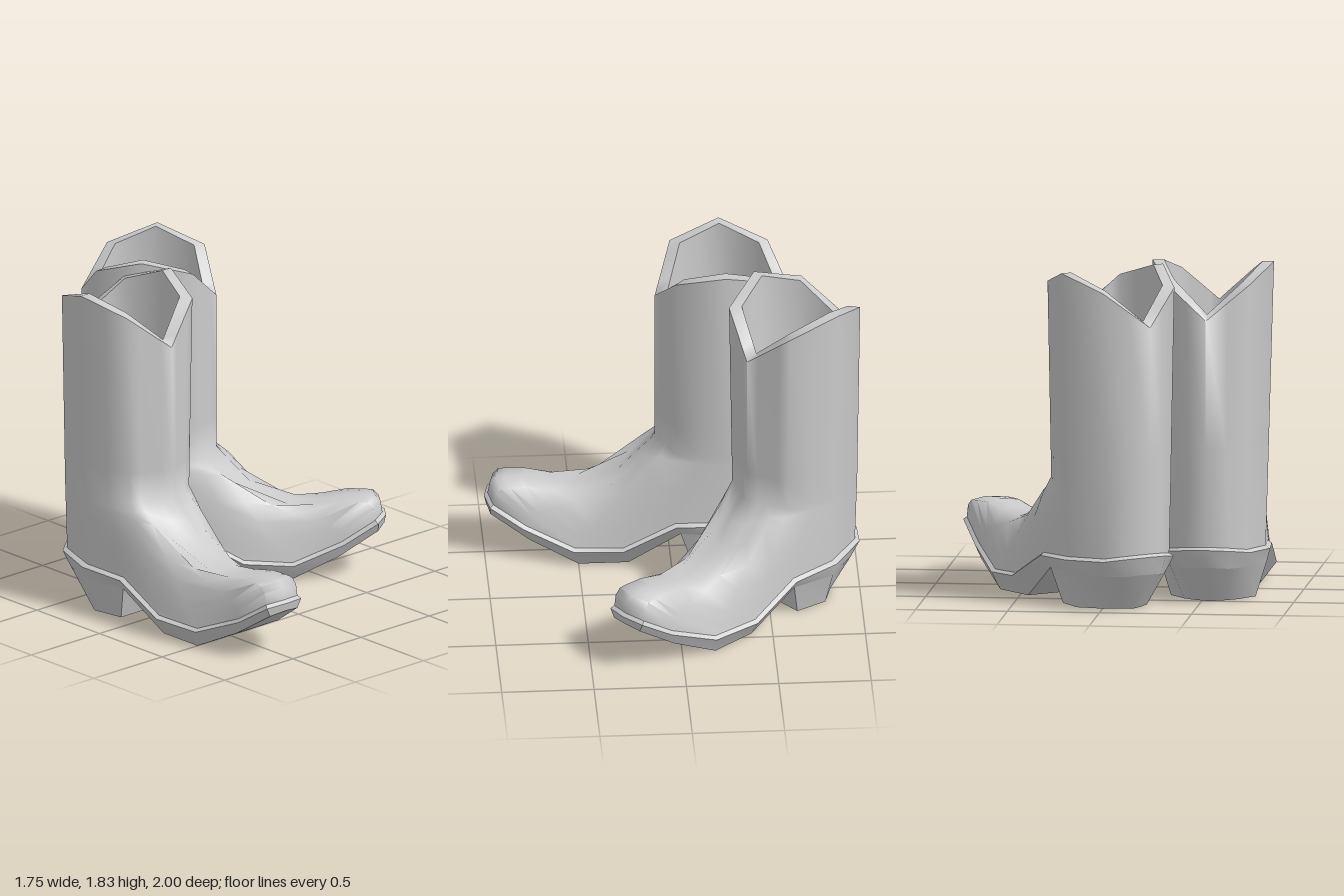
import * as THREE from 'three';
import { toCreasedNormals } from 'three/addons/utils/BufferGeometryUtils.js';

const material = new THREE.MeshStandardMaterial({ color: 0xcccccc });
const lerp = THREE.MathUtils.lerp;

// Full loop from a half outline (back to front on +x)
function mirrorLoop(half) {
  const other = half.filter(p => p[0] > 1e-6).reverse().map(([x, y, z]) => [-x, y, z]);
  return half.concat(other);
}

// Skin through half outlines, optionally closing the first or last one
function loft(name, halves, { capStart = false, capEnd = false, crease = 0.9 } = {}) {
  const loops = halves.map(mirrorLoop);
  const n = loops[0].length, index = [];
  for (let r = 0; r < loops.length - 1; r++) {
    for (let i = 0; i < n; i++) {
      const a = r * n + i, b = r * n + (i + 1) % n, c = b + n, d = a + n;
      index.push(a, d, c, a, c, b);
    }
  }
  const cap = (base, up) => {
    for (let i = 0; i < Math.floor(n / 2); i++) {
      const p = base + i, q = base + i + 1, r = base + n - i - 1, s = base + (n - i) % n;
      if (q !== r) index.push(...(up ? [p, r, q] : [p, q, r]));
      if (p !== s) index.push(...(up ? [p, s, r] : [p, r, s]));
    }
  };
  if (capStart) cap(0, false);
  if (capEnd) cap((loops.length - 1) * n, true);
  const geometry = new THREE.BufferGeometry();
  geometry.setAttribute('position', new THREE.Float32BufferAttribute(loops.flat(2), 3));
  geometry.setIndex(index);
  const mesh = new THREE.Mesh(toCreasedNormals(geometry, crease), material);
  mesh.name = name;
  return mesh;
}

// Scalloped octagonal shaft top: back, diagonal, side, diagonal, front
const octagon = [[0, 1.55, -0.66], [0.23, 1.74, -0.55], [0.33, 1.83, -0.29], [0.24, 1.75, -0.02], [0, 1.55, 0.075]];
const columns = [0, 0.5, 1, 2, 2.5, 3, 3.25, 3.5, 3.75, 4];
const shaftTop = columns.map(u => {
  const k = Math.min(3, Math.floor(u));
  return octagon[k].map((v, i) => lerp(v, octagon[k + 1][i], u - k));
});
const shaftRing = (y, sx) => shaftTop.map(([x, , z]) => [x * sx, y, z]);
const innerRing = (s, y) => shaftTop.map(([x, ty, z]) => [x * s, y ?? lerp(ty, 1.83, 0.1), -0.29 + (z + 0.29) * s]);

// Line where the upper meets the sole, heel to toe
const welt = [
  [0, 0.315, -0.65], [0.12, 0.305, -0.6], [0.21, 0.29, -0.53], [0.285, 0.28, -0.29], [0.265, 0.27, -0.02],
  [0.26, 0.125, 0.26], [0.22, 0.11, 0.52], [0.155, 0.22, 0.78], [0.115, 0.335, 0.955], [0, 0.345, 0.98],
];
// Underside of the sole
const soleBottom = [
  [0, 0.2, -0.63], [0.12, 0.19, -0.585], [0.21, 0.19, -0.5], [0.29, 0.19, -0.29], [0.24, 0.19, -0.05],
  [0.2, 0, 0.23], [0.2, 0, 0.5], [0.15, 0.13, 0.76], [0.1, 0.27, 0.97], [0, 0.285, 0.99],
];
// Ground contact of the heel
const heelBottom = [[0, 0, -0.5], [0.08, 0, -0.46], [0.145, 0, -0.41], [0.23, 0, -0.29], [0.2, 0, -0.11]];

// Foot rows between welt and ankle: [fraction, rise or dip of the instep ridge]
const ridge = [[0.988, 0.06], [0.955, 0.08], [0.9, 0.065], [0.8, 0.03], [0.65, -0.05], [0.49, -0.12], [0.22, -0.135], [0.1, -0.06]];
const ridgeWeight = [0, 0, 0, 0, 0, -0.25, -0.25, 0.45, 1, 1];

function makeBoot(name) {
  const boot = new THREE.Group();
  boot.name = name;

  // Foot, shaft, rim and hollow inside as one skin
  const ankle = shaftRing(0.68, 0.9);
  const foot = ridge.map(([t, dy]) => ankle.map((p, j) => {
    const [x, y, z] = p.map((v, i) => lerp(v, welt[j][i], t));
    return [x, y + dy * ridgeWeight[j], z];
  }));
  boot.add(loft('upper', [
    welt, ...foot, ankle, shaftRing(0.85, 0.915), shaftTop,
    innerRing(0.81), innerRing(0.76, 1.2), innerRing(0.68, 0.75), innerRing(0.45, 0.53), innerRing(0.2, 0.46),
  ], { capEnd: true, crease: 1.2 }));

  // Sole with a narrow ledge around the upper
  const soleEdge = welt.map(([x, y, z]) => [x * 1.09, y - 0.015, 0.15 + (z - 0.15) * 1.024]);
  boot.add(loft('sole', [soleBottom, soleEdge, welt], { capStart: true, crease: 0.7 }));

  // Tapered heel block
  boot.add(loft('heel', [heelBottom, soleBottom.slice(0, 5)], { capStart: true, crease: 0.9 }));
  return boot;
}

export function createModel() {
  const model = new THREE.Group();
  model.name = 'pairOfBoots';

  const right = makeBoot('rightBoot');
  right.position.set(-0.54, 0, 0);

  const left = makeBoot('leftBoot');
  left.position.set(0.155, 0, -0.435);
  left.rotation.y = THREE.MathUtils.degToRad(40);

  model.add(right, left);
  return model;
}
